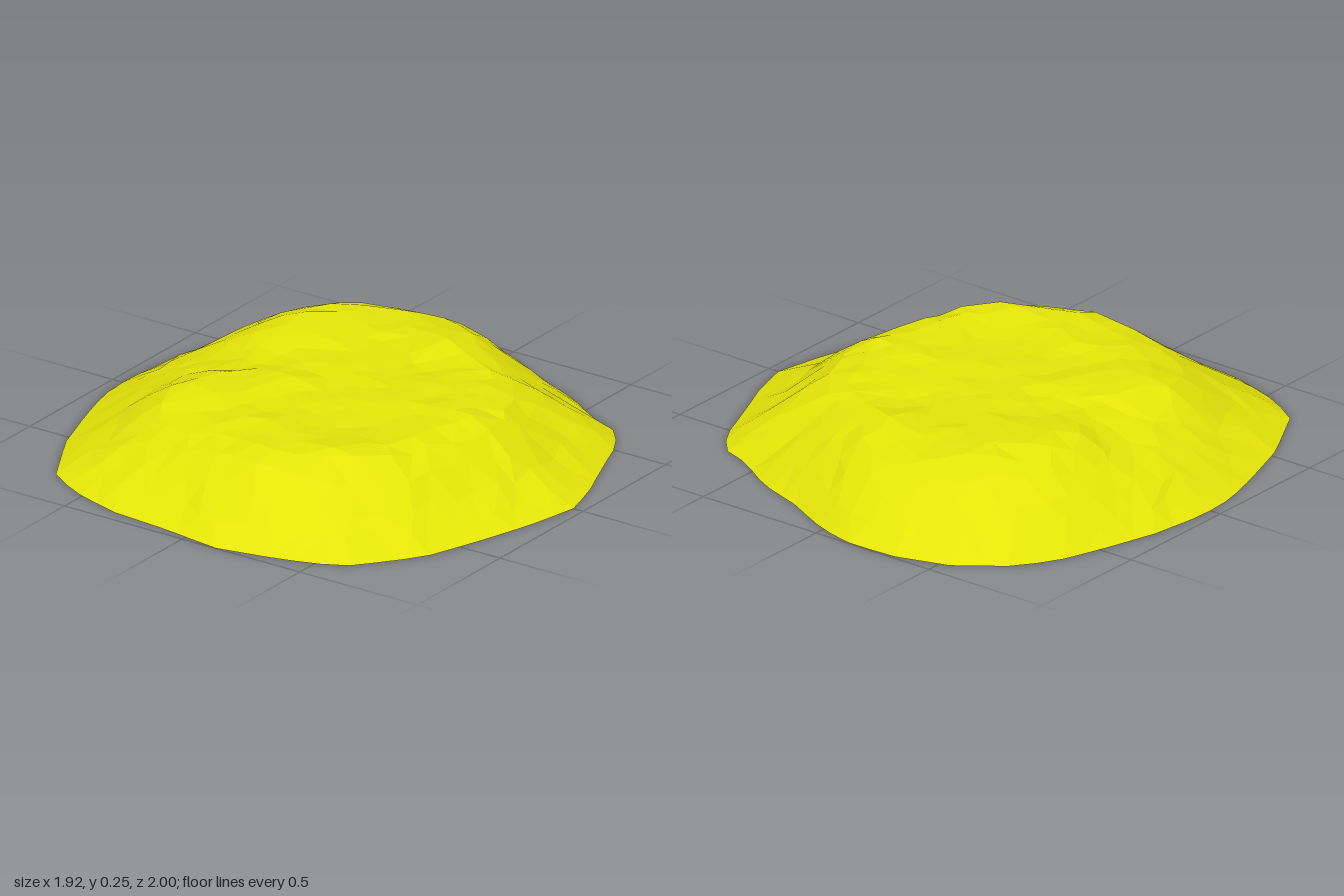
import * as THREE from 'three';

// Footprint corners (x, z), clockwise seen from above, starting at +x
const OUTLINE = [
  [0.96, 0], [0.93, 0.16], [0.89, 0.31], [0.84, 0.47], [0.78, 0.64], [0.69, 0.76], [0.59, 0.88],
  [0.38, 0.95], [0.14, 1], [-0.1, 0.965], [-0.34, 0.945], [-0.54, 0.88], [-0.68, 0.8],
  [-0.82, 0.54], [-0.9, 0.3], [-0.95, 0.12], [-0.96, -0.05], [-0.93, -0.27], [-0.87, -0.48],
  [-0.8, -0.68], [-0.7, -0.81], [-0.54, -0.93], [-0.34, -0.99], [-0.16, -1], [-0.03, -0.97],
  [0.07, -0.93], [0.2, -0.86], [0.4, -0.79], [0.57, -0.68], [0.67, -0.65], [0.76, -0.55],
  [0.81, -0.42], [0.87, -0.27], [0.92, -0.15],
];
// Heights from half way out to the rim, every 45 degrees from +x towards +z
const SECTIONS = [
  [0.24, 0.228, 0.165, 0.09, 0.04, 0],
  [0.24, 0.235, 0.19, 0.11, 0.05, 0],
  [0.24, 0.235, 0.22, 0.15, 0.068, 0],
  [0.235, 0.22, 0.17, 0.105, 0.052, 0],
  [0.235, 0.2, 0.155, 0.11, 0.058, 0],
  [0.245, 0.24, 0.215, 0.155, 0.08, 0],
  [0.235, 0.23, 0.213, 0.165, 0.09, 0],
  [0.238, 0.225, 0.18, 0.12, 0.06, 0],
];
const MIDDLE = 0.226;
// Hummocks and hollows on the plateau: x, z, radius, height
const BUMPS = [
  [-0.45, 0.32, 0.14, 0.018], [-0.5, 0.02, 0.13, -0.03], [-0.48, -0.24, 0.15, 0.014],
  [0.4, 0.48, 0.13, 0.018], [0.18, 0.28, 0.16, -0.012], [0.25, 0.65, 0.13, 0.012],
  [0.1, -0.5, 0.12, 0.018], [0.15, -0.33, 0.1, -0.022], [0.52, 0, 0.14, 0.01],
  [-0.22, 0.1, 0.12, 0.018], [-0.25, 0.6, 0.15, -0.012], [0.52, 0.66, 0.1, -0.02],
  [-0.4, -0.55, 0.16, 0.012],
];
const RINGS = 11;
const TAU = Math.PI * 2;

function seeded(seed) {
  return () => {
    seed = (seed * 16807) % 2147483647;
    return seed / 2147483647 - 0.5;
  };
}

// Where a ray from the middle meets the footprint
function rimRadius(angle) {
  const c = Math.cos(angle), s = Math.sin(angle);
  for (let i = 0; i < OUTLINE.length; i++) {
    const [ax, az] = OUTLINE[i], [bx, bz] = OUTLINE[(i + 1) % OUTLINE.length];
    const da = c * az - s * ax, db = c * bz - s * bx;
    if (da <= 1e-9 && db > 1e-9 && ax * c + az * s > 0) {
      const k = da / (da - db);
      return Math.hypot(ax + (bx - ax) * k, az + (bz - az) * k);
    }
  }
  return 0.96;
}

// Height along one radial section, t running from 0 in the middle to 1 at the rim
function sectionHeight(section, t) {
  if (t < 0.5) return THREE.MathUtils.lerp(MIDDLE, section[0], t * 2);
  const s = (t - 0.5) * 10, i = Math.min(Math.floor(s), section.length - 2);
  return THREE.MathUtils.lerp(section[i], section[i + 1], s - i);
}

function heightAt(x, z, t, angle) {
  const s = (angle / TAU) * SECTIONS.length, i = Math.floor(s), n = SECTIONS.length;
  const blend = THREE.MathUtils.smoothstep(s - i, 0, 1);
  let y = THREE.MathUtils.lerp(
    sectionHeight(SECTIONS[i % n], t), sectionHeight(SECTIONS[(i + 1) % n], t), blend);
  const fade = Math.min((1 - t) / 0.35, 1);
  for (const [bx, bz, r, h] of BUMPS) {
    y += h * fade * Math.exp(-((x - bx) ** 2 + (z - bz) ** 2) / (r * r));
  }
  return y;
}

// Disc of rings with 6, 12, 18... irregular points, raised into a mound
function moundGeometry() {
  const rand = seeded(4127);
  const positions = [0, heightAt(0, 0, 0, 0), 0];
  for (let ring = 1; ring <= RINGS; ring++) {
    const rim = ring === RINGS;
    const loose = rim ? 0 : 0.55;
    for (let k = 0; k < ring * 6; k++) {
      const angle = (((k + loose * rand()) / (ring * 6)) * TAU + TAU) % TAU;
      const t = (ring + loose * rand()) / RINGS;
      const r = t * rimRadius(angle);
      const x = r * Math.cos(angle), z = r * Math.sin(angle);
      const y = rim ? 0 : heightAt(x, z, t, angle) + 0.012 * rand();
      positions.push(x, Math.max(y, 0), z);
    }
  }

  const index = [];
  const id = (ring, k) => (ring === 0 ? 0 : 1 + 3 * ring * (ring - 1) + (k % (ring * 6)));
  for (let ring = 1; ring <= RINGS; ring++) {
    for (let sector = 0; sector < 6; sector++) {
      for (let k = 0; k < ring; k++) {
        const outer = sector * ring + k, inner = sector * (ring - 1) + k;
        index.push(id(ring - 1, inner), id(ring, outer + 1), id(ring, outer));
        if (k < ring - 1) {
          index.push(id(ring - 1, inner), id(ring - 1, inner + 1), id(ring, outer + 1));
        }
      }
    }
  }
  const geometry = new THREE.BufferGeometry();
  geometry.setAttribute('position', new THREE.Float32BufferAttribute(positions, 3));
  geometry.setIndex(index);
  geometry.computeVertexNormals();
  return geometry;
}

export function createModel() {
  const group = new THREE.Group();
  group.name = 'mound';
  const yellow = new THREE.MeshStandardMaterial({
    color: 0xe4e408, flatShading: true, side: THREE.DoubleSide,
  });
  yellow.name = 'yellow';

  // Open-bottomed shell with a lumpy plateau
  const shell = new THREE.Mesh(moundGeometry(), yellow);
  shell.name = 'moundShell';
  group.add(shell);
  return group;
}
